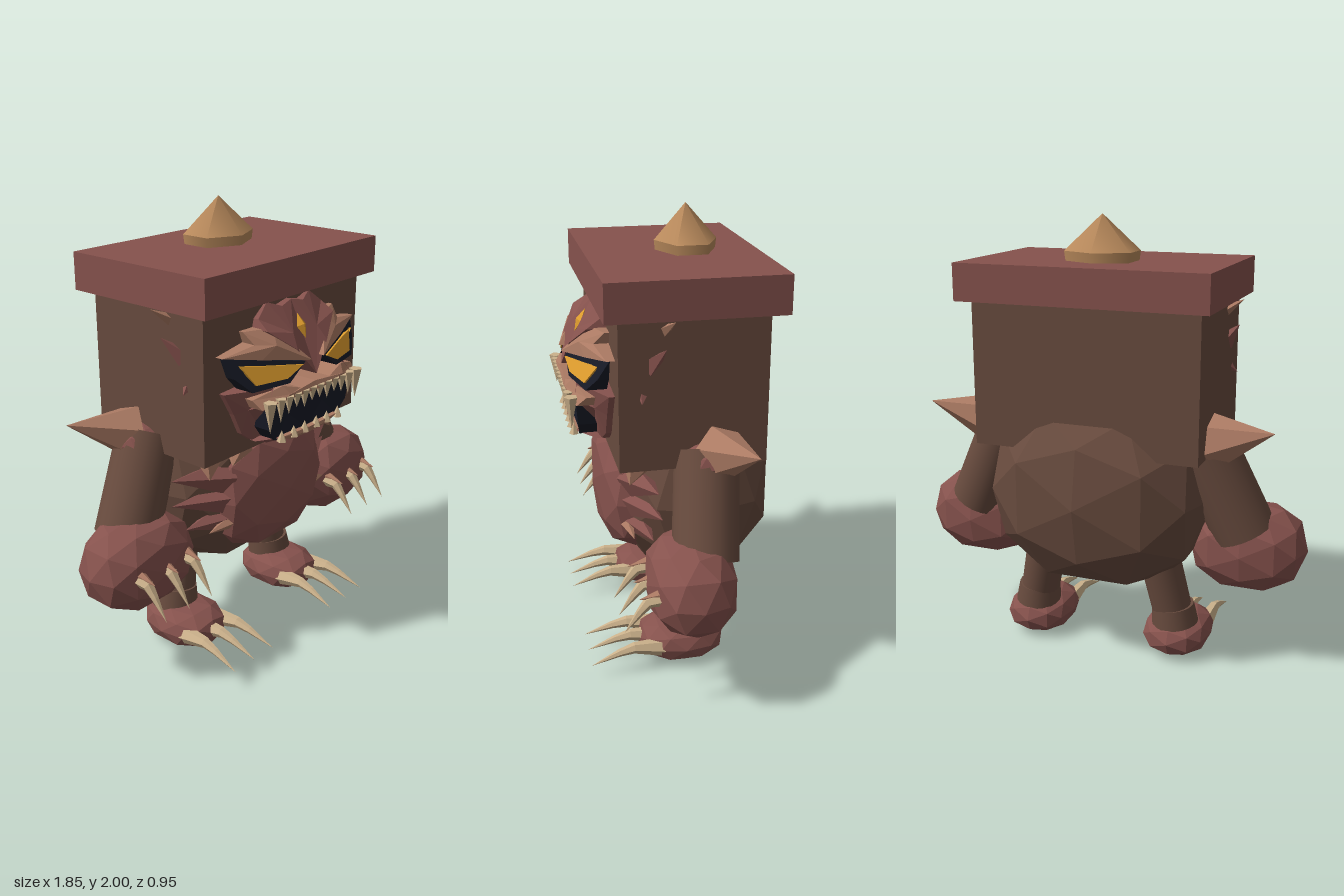
import * as THREE from 'three';

const paint = (name, color) => {
  const m = new THREE.MeshStandardMaterial({ color });
  m.name = name;
  return m;
};

export function createModel() {
  const root = new THREE.Group();
  root.name = 'chestMonster';
  const brown = paint('brown wood', 0x684b3e);
  const red = paint('dull red', 0x86524d);
  const tan = paint('rosy tan', 0xab7a63);
  const ochre = paint('ochre', 0xb98a5c);
  const bone = paint('bone', 0xcbb18b);
  const dark = paint('near black', 0x171a26);
  const amber = paint('amber', 0xe09e2e);
  const V = (p) => new THREE.Vector3(...p);

  function addSmooth(name, geo, mat) {
    const mesh = new THREE.Mesh(geo, mat);
    mesh.name = name;
    root.add(mesh);
  }
  // Adds a faceted mesh
  function add(name, geo, mat) {
    const g = geo.index ? geo.toNonIndexed() : geo;
    g.computeVertexNormals();
    addSmooth(name, g, mat);
  }
  const box = (name, mat, size, pos) => add(name, new THREE.BoxGeometry(...size).translate(...pos), mat);

  // Faceted ellipsoid; power below 1 makes it boxier
  function blob(name, mat, pos, radii, power = 1) {
    const g = new THREE.IcosahedronGeometry(1, 1);
    const p = g.attributes.position;
    const bulge = (c) => Math.sign(c) * Math.abs(c) ** power;
    for (let i = 0; i < p.count; i++) p.setXYZ(i, bulge(p.getX(i)), bulge(p.getY(i)), bulge(p.getZ(i)));
    add(name, g.scale(...radii).translate(...pos), mat);
  }

  // Straight rod between two points
  function rod(a, b, r0, r1, sides) {
    const dir = V(b).sub(V(a));
    const g = new THREE.CylinderGeometry(r1, r0, dir.length(), sides);
    g.translate(0, dir.length() / 2, 0);
    g.applyQuaternion(new THREE.Quaternion().setFromUnitVectors(new THREE.Vector3(0, 1, 0), dir.normalize()));
    return g.translate(...a);
  }
  const limb = (name, mat, a, b, r0, r1) => addSmooth(name, rod(a, b, r0, r1, 20), mat);
  const spike = (name, mat, a, b, r, sides = 6) => add(name, rod(a, b, r, 0, sides), mat);

  // Bent claw tapering to a point along a curve
  function claw(name, pts, r) {
    const curve = new THREE.CatmullRomCurve3(pts.map(V), false, 'catmullrom', 0.2);
    const n = 5, sides = 6;
    const g = new THREE.TubeGeometry(curve, n, r, sides);
    const p = g.attributes.position, v = new THREE.Vector3();
    for (let i = 0; i < p.count; i++) {
      const t = Math.floor(i / (sides + 1)) / n;
      v.fromBufferAttribute(p, i).lerp(curve.getPointAt(t), t);
      p.setXYZ(i, v.x, v.y, v.z);
    }
    add(name, g, bone);
  }

  // Faceted face panel: a fan around a hub, with edges running back to a depth
  function panel(name, mat, side, hub, outline, back = 0.27) {
    const flip = ([x, y, z]) => [x * side, y, z];
    let pts = outline.map(flip);
    const h = flip(hub);
    const area = pts.reduce((s, a, i) => {
      const b = pts[(i + 1) % pts.length];
      return s + a[0] * b[1] - b[0] * a[1];
    }, 0);
    if (area < 0) pts = pts.reverse();
    const out = [];
    pts.forEach((a, i) => {
      const b = pts[(i + 1) % pts.length];
      const ab = [a[0], a[1], back], bb = [b[0], b[1], back], hb = [h[0], h[1], back];
      out.push(...h, ...a, ...b, ...ab, ...bb, ...b, ...ab, ...b, ...a, ...hb, ...bb, ...ab);
    });
    const g = new THREE.BufferGeometry();
    g.setAttribute('position', new THREE.Float32BufferAttribute(out, 3));
    add(name, g, mat);
  }

  // Chest head, lid and knob
  box('chest', brown, [1.02, 0.645, 0.62], [0, 1.325, -0.035]);
  box('lid', red, [1.12, 0.162, 0.745], [0, 1.722, -0.038]);
  addSmooth('knobBase', new THREE.CylinderGeometry(0.172, 0.165, 0.05, 6).scale(1, 1, 0.8).translate(0, 1.82, -0.107), ochre);
  addSmooth('knobPoint', new THREE.ConeGeometry(0.172, 0.155, 6).scale(1, 1, 0.8).translate(0, 1.9225, -0.107), ochre);

  // Torso
  blob('body', brown, [0, 0.79, -0.105], [0.52, 0.45, 0.375], 0.86);
  blob('belly', red, [0, 0.75, 0.16], [0.34, 0.285, 0.16], 0.77);

  for (const s of [1, -1]) {
    const P = (x, y, z) => [s * x, y, z];

    // Arm and hand
    limb('upperArm', brown, P(0.46, 1.05, -0.1), P(0.65, 0.64, -0.055), 0.137, 0.142);
    blob('shoulder', red, P(0.5, 1.03, -0.1), [0.125, 0.085, 0.125]);
    spike('shoulderSpike', tan, P(0.53, 1.065, -0.14), P(0.8, 1.145, -0.23), 0.12);
    blob('hand', red, P(0.655, 0.555, 0.01), [0.268, 0.204, 0.19], 0.86);
    for (const x of [0.51, 0.645, 0.78]) {
      spike('clawRoot', tan, P(x, 0.59, 0.1), P(x, 0.568, 0.25), 0.043);
      claw('handClaw', [P(x, 0.57, 0.1), P(x, 0.553, 0.21), P(x, 0.42, 0.31)], 0.042);
    }

    // Leg and foot
    limb('leg', brown, P(0.27, 0.52, -0.12), P(0.345, 0.17, -0.08), 0.094, 0.09);
    limb('ankleCuff', brown, P(0.335, 0.25, -0.085), P(0.345, 0.16, -0.08), 0.097, 0.108);
    blob('foot', red, P(0.345, 0.1, -0.018), [0.158, 0.097, 0.2], 0.86);
    for (const d of [-1, 0, 1]) {
      const x = 0.345 + d * 0.1;
      claw('footClaw', [P(x, 0.1, 0.08), P(x + d * 0.01, 0.118, 0.23), P(x + d * 0.025, 0.06, 0.41)], 0.042);
    }

    // Broad pointed scales beside the belly and below the chest
    const scales = [
      [red, [0.27, 0.86, 0.17], [0.55, 0.91, 0.12], 0.085],
      [red, [0.28, 0.76, 0.17], [0.53, 0.78, 0.1], 0.075],
      [red, [0.25, 0.67, 0.17], [0.48, 0.66, 0.13], 0.075],
      [tan, [0.26, 0.66, 0.21], [0.41, 0.64, 0.2], 0.04],
      [tan, [0.37, 1.0, 0.17], [0.42, 0.9, 0.22], 0.085],
      [tan, [0.22, 1.0, 0.2], [0.31, 0.94, 0.25], 0.07],
    ];
    for (const [mat, a, b, r] of scales) spike('bodyScale', mat, P(...a), P(...b), r, 5);

    // Small shards on the sides of the chest
    spike('sideShard', tan, P(0.48, 1.58, 0.09), P(0.585, 1.645, 0.06), 0.03, 4);
    spike('sideShard', red, P(0.48, 1.44, 0.14), P(0.56, 1.53, 0.09), 0.045, 4);
    spike('sideShard', red, P(0.48, 1.34, 0.17), P(0.535, 1.3, 0.185), 0.03, 4);

    // Forehead and brow
    panel('forehead', red, s, [0.08, 1.5, 0.38],
      [[0, 1.32, 0.445], [0.1, 1.44, 0.42], [0.22, 1.53, 0.36], [0.21, 1.57, 0.3], [0.14, 1.625, 0.285], [0.07, 1.6, 0.31], [0, 1.615, 0.3]]);
    panel('brow', tan, s, [0.2, 1.475, 0.39],
      [[0.04, 1.39, 0.45], [0.27, 1.427, 0.375], [0.44, 1.458, 0.31], [0.28, 1.485, 0.34], [0.3, 1.535, 0.295], [0.17, 1.535, 0.345]]);

    // Eye, leaning back and wrapping around the side
    const eye = (x, y, lift = 0) => [x, y, 0.45 - 0.28 * x + 0.4 * (1.38 - y) + lift];
    panel('eyeFrame', dark, s, eye(0.25, 1.37),
      [eye(0.06, 1.385), eye(0.16, 1.315), eye(0.34, 1.308), eye(0.4, 1.37), eye(0.435, 1.455), eye(0.27, 1.425)], 0.295);
    panel('eye', amber, s, eye(0.25, 1.365, 0.008),
      [eye(0.08, 1.377, 0.008), eye(0.17, 1.336, 0.008), eye(0.32, 1.334, 0.008), eye(0.375, 1.418, 0.008), eye(0.26, 1.4, 0.008)], 0.35);

    // Muzzle
    panel('cheek', red, s, [0.32, 1.22, 0.345],
      [[0.42, 1.3, 0.3], [0.24, 1.31, 0.41], [0.28, 1.25, 0.42], [0.26, 1.14, 0.33], [0.2, 1.075, 0.33], [0.25, 1.055, 0.31], [0.31, 1.1, 0.3], [0.36, 1.2, 0.3]]);
    panel('upperLip', tan, s, [0.18, 1.277, 0.452],
      [[0, 1.255, 0.455], [0.27, 1.255, 0.445], [0.32, 1.235, 0.42], [0.34, 1.275, 0.38], [0.2, 1.312, 0.425], [0.1, 1.282, 0.44], [0, 1.288, 0.44]], 0.29);
    panel('mouth', dark, s, [0.12, 1.16, 0.39],
      [[0, 1.26, 0.42], [0.28, 1.26, 0.42], [0.265, 1.13, 0.41], [0.215, 1.07, 0.4], [0, 1.07, 0.4]], 0.3);
    panel('lowerJaw', red, s, [0.12, 1.05, 0.39],
      [[0, 1.075, 0.42], [0.2, 1.08, 0.415], [0.26, 1.06, 0.33], [0.17, 1.025, 0.32], [0, 1.015, 0.33]], 0.3);
    panel('lowerLip', tan, s, [0.07, 1.066, 0.428],
      [[0, 1.078, 0.425], [0.19, 1.082, 0.42], [0.13, 1.05, 0.41], [0, 1.045, 0.41]], 0.38);

    // Fang and rows of teeth
    const tooth = (name, x, y, z, h, r) => spike(name, bone, P(x, y, z), P(x, y + h, z), r, 5);
    tooth('fang', 0.295, 1.268, 0.44, -0.135, 0.03);
    for (let i = 0; i < 5; i++) {
      tooth('upperTooth', 0.026 + i * 0.052, 1.27, 0.445, i === 4 ? -0.105 : i % 2 ? -0.08 : -0.065, 0.024);
    }
    for (const x of [0.04, 0.115, 0.195]) tooth('lowerTooth', x, 1.065, 0.42, 0.05, 0.022);
  }

  // Forehead gem
  add('gem', new THREE.OctahedronGeometry(1).scale(0.03, 0.056, 0.018).rotateX(-0.46).translate(0, 1.512, 0.358), amber);

  return root;
}
